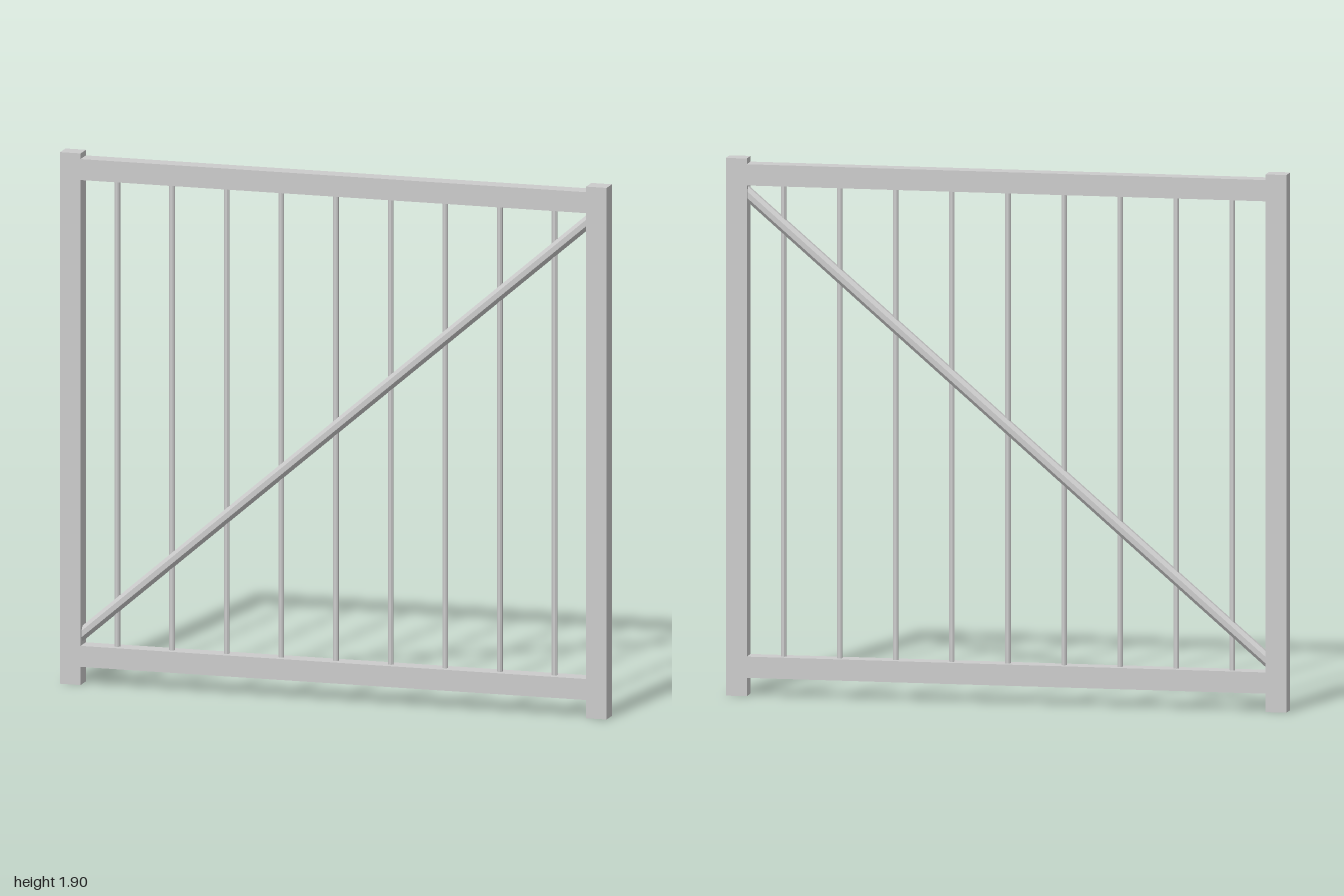
import * as THREE from 'three';

const material = new THREE.MeshStandardMaterial({ color: 0xcccccc, flatShading: true });

function add(group, name, geometry, x, y) {
  const mesh = new THREE.Mesh(geometry, material);
  mesh.name = name;
  mesh.position.set(x, y, 0);
  group.add(mesh);
  return mesh;
}

export function createModel() {
  const gate = new THREE.Group();
  gate.name = 'barredGate';
  const height = 1.9, post = 0.075, depth = 0.064;
  const inner = 1 - post;

  // Square side posts
  for (const side of [-1, 1]) {
    add(gate, side > 0 ? 'leftPost' : 'rightPost',
      new THREE.BoxGeometry(post, height, depth), side * (1 - post / 2), height / 2);
  }

  // Horizontal rails between the posts
  const railGeometry = new THREE.BoxGeometry(inner * 2, post, depth);
  add(gate, 'bottomRail', railGeometry, 0, 0.1025);
  add(gate, 'topRail', railGeometry, 0, 1.8425);

  // Thin vertical bars, evenly spaced
  const barGeometry = new THREE.CylinderGeometry(0.01, 0.01, 1.665, 8);
  barGeometry.rotateY(Math.PI / 8);
  for (let i = -4; i <= 4; i++) add(gate, 'verticalBar', barGeometry, i * 0.2, 0.9725);

  // Diagonal brace from lower right to upper left, ends set into the posts
  const rise = 1.59, run = inner * 2;
  const braceGeometry = new THREE.CylinderGeometry(0.023, 0.023, Math.hypot(rise, run) + 0.04, 8);
  braceGeometry.rotateY(Math.PI / 8);
  const brace = add(gate, 'diagonalBrace', braceGeometry, 0, 0.975);
  brace.rotation.z = -Math.atan2(run, rise);

  return gate;
}
